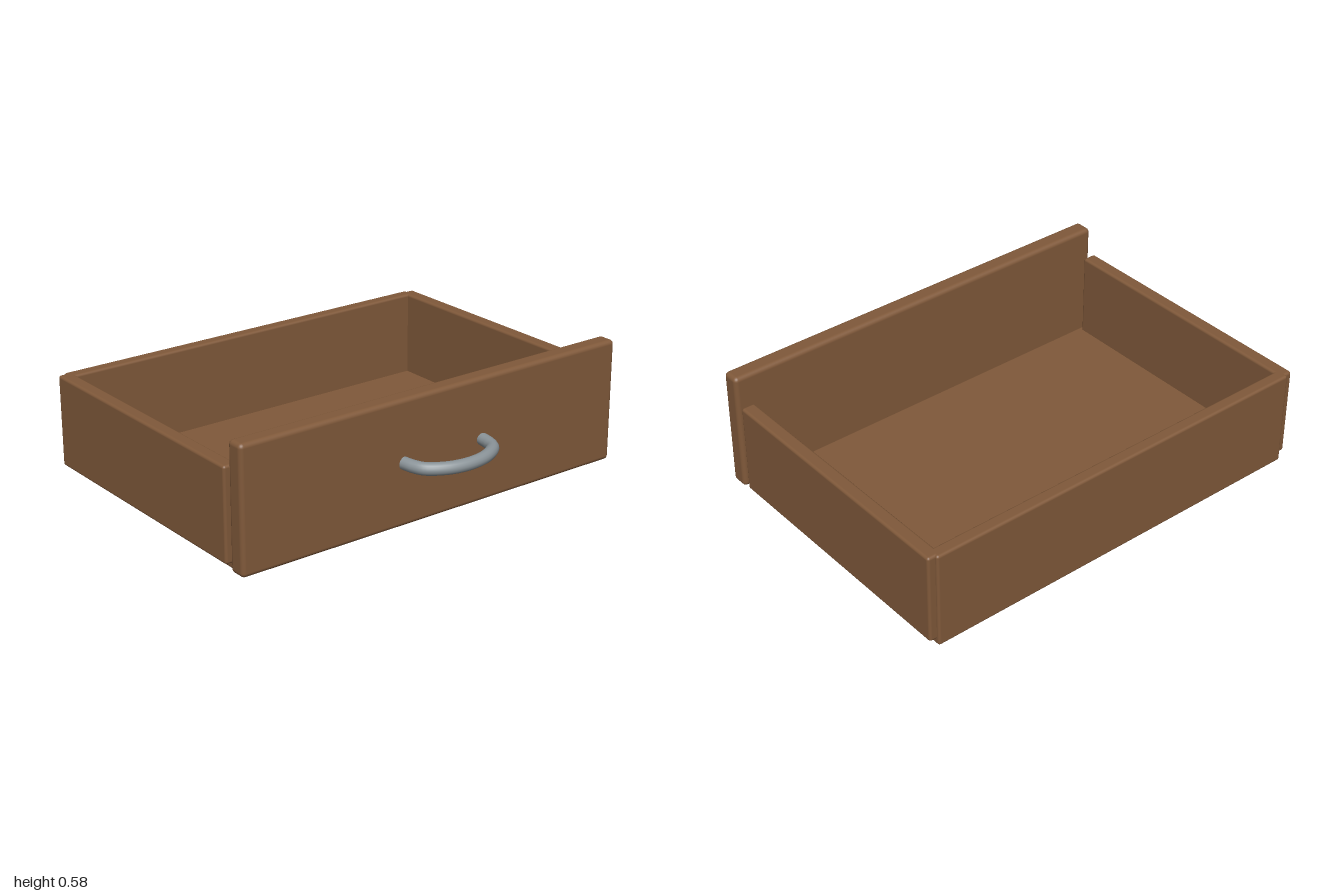
import * as THREE from 'three';
import { RoundedBoxGeometry } from 'three/addons/geometries/RoundedBoxGeometry.js';

export function createModel() {
  const group = new THREE.Group();
  group.name = 'drawer';
  const wood = new THREE.MeshStandardMaterial({ color: 0x80593a });
  wood.name = 'brown wood';
  const metal = new THREE.MeshStandardMaterial({ color: 0x8b9499 });
  metal.name = 'grey metal';

  // Board with softened edges, given by its extents
  function board(name, [x0, x1], [y0, y1], [z0, z1], radius) {
    const geometry = new RoundedBoxGeometry(x1 - x0, y1 - y0, z1 - z0, 3, radius);
    const mesh = new THREE.Mesh(geometry, wood);
    mesh.name = name;
    mesh.position.set((x0 + x1) / 2, (y0 + y1) / 2, (z0 + z1) / 2);
    group.add(mesh);
  }

  board('frontPanel', [-1, 1], [0.013, 0.582], [0.511, 0.597], 0.02);
  board('bottomPanel', [-0.965, 0.965], [0, 0.055], [-0.82, 0.5], 0.012);
  board('backPanel', [-0.965, 0.965], [0.03, 0.455], [-0.82, -0.76], 0.012);
  board('leftSide', [0.935, 1], [0.03, 0.455], [-0.807, 0.48], 0.012);
  board('rightSide', [-1, -0.935], [0.03, 0.455], [-0.807, 0.48], 0.012);

  // Bowed handle: half a path mirrored across the middle
  const half = [[0.213, 0.623], [0.204, 0.675], [0.182, 0.722], [0.1, 0.773]];
  const points = [
    ...half.map(([x, z]) => new THREE.Vector3(-x, 0.315, z)),
    new THREE.Vector3(0, 0.315, 0.79),
    ...half.slice().reverse().map(([x, z]) => new THREE.Vector3(x, 0.315, z)),
  ];
  const curve = new THREE.CatmullRomCurve3(points);
  const radius = 0.028;
  const handle = new THREE.Group();
  handle.name = 'handle';
  const bar = new THREE.Mesh(new THREE.TubeGeometry(curve, 48, radius, 16), metal);
  bar.name = 'handleBar';
  handle.add(bar);

  // Flat ends of the handle
  for (const t of [0, 1]) {
    const cap = new THREE.Mesh(new THREE.CircleGeometry(radius, 16), metal);
    cap.name = t ? 'leftHandleEnd' : 'rightHandleEnd';
    const outward = curve.getTangentAt(t).multiplyScalar(t ? 1 : -1);
    cap.position.copy(curve.getPointAt(t));
    cap.quaternion.setFromUnitVectors(new THREE.Vector3(0, 0, 1), outward);
    handle.add(cap);
  }
  group.add(handle);
  return group;
}
